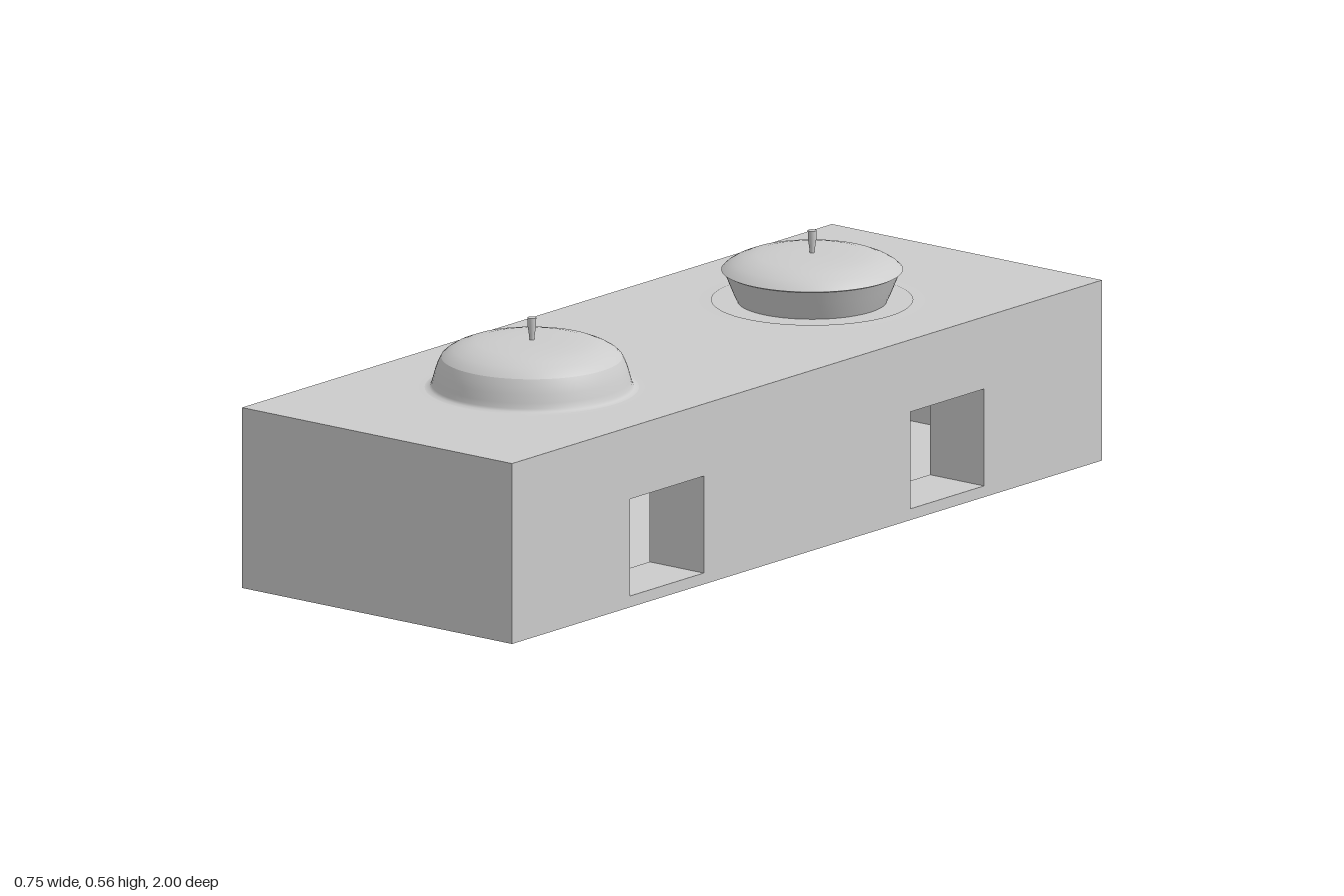
import * as THREE from 'three';

const material = new THREE.MeshStandardMaterial({ color: 0xcccccc, side: THREE.DoubleSide });

const WIDTH = 0.748, HEIGHT = 0.4, LENGTH = 2;
const HOLE = { width: 0.25, bottom: 0.025, top: 0.24, depth: 0.15, z: 0.475 };

function part(name, geometry) {
  const mesh = new THREE.Mesh(geometry, material);
  mesh.name = name;
  return mesh;
}

// Box with its first faces left out (face order: +x, -x, +y, -y, +z, -z)
function openBox(w, h, d, skipFaces) {
  const geometry = new THREE.BoxGeometry(w, h, d);
  geometry.setIndex([...geometry.index.array].slice(skipFaces * 6));
  geometry.clearGroups();
  return geometry;
}

function lathe(points) {
  return new THREE.LatheGeometry(points.map(([r, y]) => new THREE.Vector2(r, y)), 64);
}

// Hollow stove block with two fire openings in its +x side
function createStove() {
  const stove = new THREE.Group();
  stove.name = 'stoveBody';

  const shell = part('outerWalls', openBox(WIDTH, HEIGHT, LENGTH, 1));
  shell.position.y = HEIGHT / 2;
  stove.add(shell);

  const rect = (Type, x0, y0, x1, y1) => new Type([
    new THREE.Vector2(x0, y0), new THREE.Vector2(x1, y0),
    new THREE.Vector2(x1, y1), new THREE.Vector2(x0, y1),
  ]);
  const face = rect(THREE.Shape, -LENGTH / 2, 0, LENGTH / 2, HEIGHT);
  const holeHeight = HOLE.top - HOLE.bottom;

  for (const side of [-1, 1]) {
    const z = side * HOLE.z;
    face.holes.push(rect(THREE.Path, z - HOLE.width / 2, HOLE.bottom, z + HOLE.width / 2, HOLE.top));
    // Lining of the opening, open at both ends
    const lining = part('fireOpening', openBox(HOLE.depth, holeHeight, HOLE.width, 2));
    lining.position.set(WIDTH / 2 - HOLE.depth / 2, HOLE.bottom + holeHeight / 2, z);
    stove.add(lining);
  }

  const wall = part('openingWall', new THREE.ShapeGeometry(face).rotateY(Math.PI / 2));
  wall.position.x = WIDTH / 2;
  stove.add(wall);
  return stove;
}

// Domed lid with a small flared knob
function createLid() {
  const lid = new THREE.Group();
  lid.name = 'lid';
  lid.add(part('lidDome', lathe([
    [0.195, 0.469], [0.185, 0.478], [0.17, 0.487], [0.148, 0.496],
    [0.12, 0.502], [0.08, 0.505], [0.04, 0.506], [0, 0.506],
  ])));
  lid.add(part('lidRim', lathe([[0.188, 0.466], [0.195, 0.469]])));
  lid.add(part('lidKnob', lathe([[0.005, 0.504], [0.006, 0.515], [0.009, 0.535], [0.0095, 0.555]])));
  const cap = part('knobTop', new THREE.CircleGeometry(0.0095, 32).rotateX(-Math.PI / 2));
  cap.position.y = 0.555;
  lid.add(cap);
  return lid;
}

// Pot with its lid, standing on a thin ring on the stove top
function createPot(name, z, wallProfile) {
  const pot = new THREE.Group();
  pot.name = name;
  pot.add(part('stoveRing', lathe([[0.242, 0.4005], [0.216, 0.4015]])));
  pot.add(part('potWall', lathe(wallProfile)));
  pot.add(createLid());
  pot.position.z = z;
  return pot;
}

export function createModel() {
  const model = new THREE.Group();
  model.name = 'stove';
  model.add(createStove());
  // Front pot narrows upward from a flared foot
  model.add(createPot('frontPot', 0.475, [
    [0.23, 0.401], [0.22, 0.403], [0.216, 0.409], [0.213, 0.42],
    [0.208, 0.438], [0.202, 0.455], [0.195, 0.469],
  ]));
  // Rear pot is a bowl widening upward
  model.add(createPot('rearPot', -0.475, [
    [0.161, 0.4], [0.17, 0.42], [0.179, 0.442], [0.189, 0.467],
  ]));
  return model;
}
